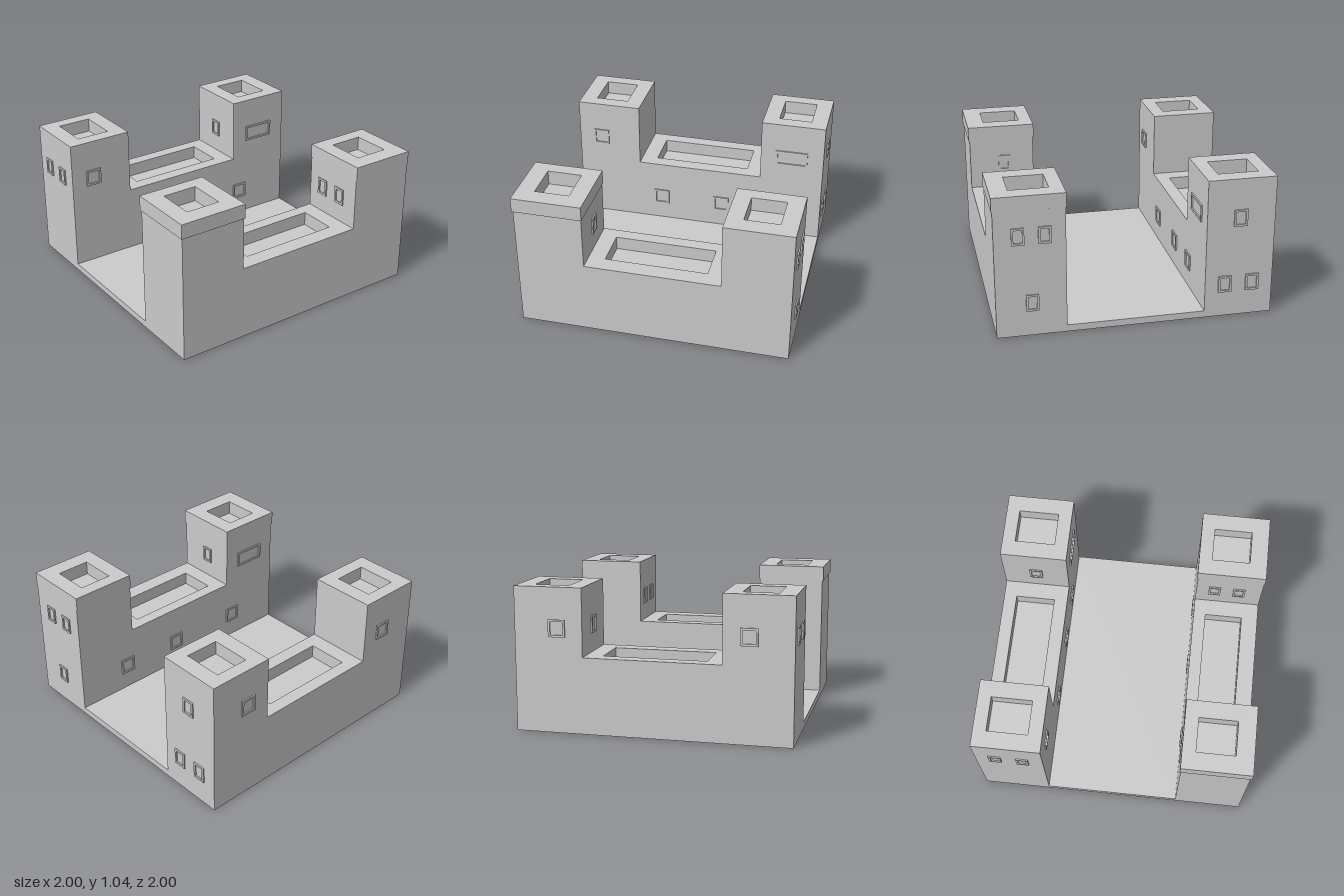
import * as THREE from 'three';

const material = new THREE.MeshStandardMaterial({ color: 0xcccccc, flatShading: true });
const OUT = 0.99, IN = 0.495;

function add(parent, name, geometry) {
  const mesh = new THREE.Mesh(geometry, material);
  mesh.name = name;
  parent.add(mesh);
  return mesh;
}

// Solid block from its limits
function block(parent, name, [x0, x1], [y0, y1], [z0, z1]) {
  const mesh = add(parent, name, new THREE.BoxGeometry(x1 - x0, y1 - y0, z1 - z0));
  mesh.position.set((x0 + x1) / 2, (y0 + y1) / 2, (z0 + z1) / 2);
}

function rectangle(target, x0, x1, y0, y1) {
  target.moveTo(x0, y0).lineTo(x1, y0).lineTo(x1, y1).lineTo(x0, y1).closePath();
  return target;
}

function frameGeometry(outer, inner, depth) {
  const shape = rectangle(new THREE.Shape(), ...outer);
  shape.holes.push(rectangle(new THREE.Path(), ...inner));
  return new THREE.ExtrudeGeometry(shape, { depth, bevelEnabled: false });
}

// Parapet: flat ring with a rectangular opening, standing on y0
function parapet(parent, name, [x0, x1], [y0, y1], [z0, z1], [hx0, hx1], [hz0, hz1]) {
  const geometry = frameGeometry([x0, x1, -z1, -z0], [hx0, hx1, -hz1, -hz0], y1 - y0);
  geometry.rotateX(-Math.PI / 2);
  add(parent, name, geometry).position.y = y0;
}

// Raised window frame; side is the way it faces, u the position along the wall
const FACING = { '+z': 0, '-z': Math.PI, '+x': Math.PI / 2, '-x': -Math.PI / 2 };
function windowFrame(parent, side, plane, u, y, width) {
  const w = width / 2, h = 0.062, bar = 0.015;
  const frame = add(parent, 'windowFrame',
    frameGeometry([-w, w, -h, h], [-w + bar, w - bar, -h + bar, h - bar], 0.01));
  frame.rotation.y = FACING[side];
  if (side[1] === 'z') frame.position.set(u, y, plane);
  else frame.position.set(plane, y, u);
}

export function createModel() {
  const model = new THREE.Group();
  model.name = 'castle';

  // Courtyard floor
  block(model, 'courtyardFloor', [-OUT, OUT], [0, 0.05], [-IN, IN]);

  for (const sz of [-1, 1]) {
    const zRange = sz > 0 ? [IN, OUT] : [-OUT, -IN];
    const holeZ = sz > 0 ? [0.587, 0.867] : [-0.893, -0.597];

    // Low wall with a sunken walkway
    const wall = new THREE.Group();
    wall.name = sz > 0 ? 'frontWall' : 'backWall';
    block(wall, 'wallBody', [-IN, IN], [0, 0.45], zRange);
    parapet(wall, 'wallParapet', [-IN, IN], [0.45, 0.55], zRange, [-0.373, 0.373], holeZ);
    model.add(wall);

    // Corner towers with sunken roofs; the front ones carry a projecting cap
    for (const sx of [-1, 1]) {
      const tower = new THREE.Group();
      tower.name = (sz > 0 ? 'front' : 'back') + (sx > 0 ? 'Left' : 'Right') + 'Tower';
      const xRange = sx > 0 ? [IN, OUT] : [-OUT, -IN];
      const holeX = sx > 0 ? [0.615, 0.867] : [-0.867, -0.615];
      const capX = sz > 0 && sx < 0 ? [-0.998, -0.49] : xRange;
      const capZ = sz < 0 ? zRange : sx < 0 ? [0.488, 0.998] : [0.488, 0.995];
      const top = sz > 0 && sx < 0 ? 1.045 : 1.04;
      block(tower, 'towerBody', xRange, [0, 0.938], zRange);
      parapet(tower, 'towerParapet', capX, [0.938, top], capZ, holeX, holeZ);
      model.add(tower);
    }
  }

  // Windows: facing, wall plane, position along wall, height, width
  const HIGH = 0.75, LOW = 0.25, NARROW = 0.09, MID = 0.122, WIDE = 0.25;
  const windows = [
    // outer sides
    ['+x', OUT, 0.825, HIGH, NARROW], ['+x', OUT, 0.64, HIGH, NARROW], ['+x', OUT, 0.735, LOW, NARROW],
    ['+x', OUT, -0.738, HIGH, 0.098], ['+x', OUT, -0.64, LOW, 0.098], ['+x', OUT, -0.84, LOW, 0.098],
    ['-x', -OUT, -0.845, HIGH, NARROW], ['-x', -OUT, -0.645, HIGH, NARROW],
    ['-z', -OUT, -0.68, HIGH, MID], ['-z', -OUT, 0.68, HIGH, MID],
    // tower sides above the low walls
    ['+x', -IN, 0.725, 0.742, NARROW],
    ['-x', IN, 0.635, HIGH, NARROW], ['-x', IN, 0.82, HIGH, NARROW], ['-x', IN, -0.74, HIGH, 0.098],
    // courtyard sides
    ['+z', -IN, -0.81, HIGH, MID], ['+z', -IN, -0.312, LOW, MID], ['+z', -IN, 0.183, LOW, MID],
    ['+z', -IN, 0.555, LOW, MID], ['+z', -IN, 0.74, HIGH, WIDE],
    ['-z', IN, -0.74, 0.742, WIDE], ['-z', IN, -0.55, LOW, MID],
    ['-z', IN, 0.06, LOW, MID], ['-z', IN, 0.555, LOW, MID],
  ];
  const windowGroup = new THREE.Group();
  windowGroup.name = 'windows';
  for (const w of windows) windowFrame(windowGroup, ...w);
  model.add(windowGroup);

  return model;
}
